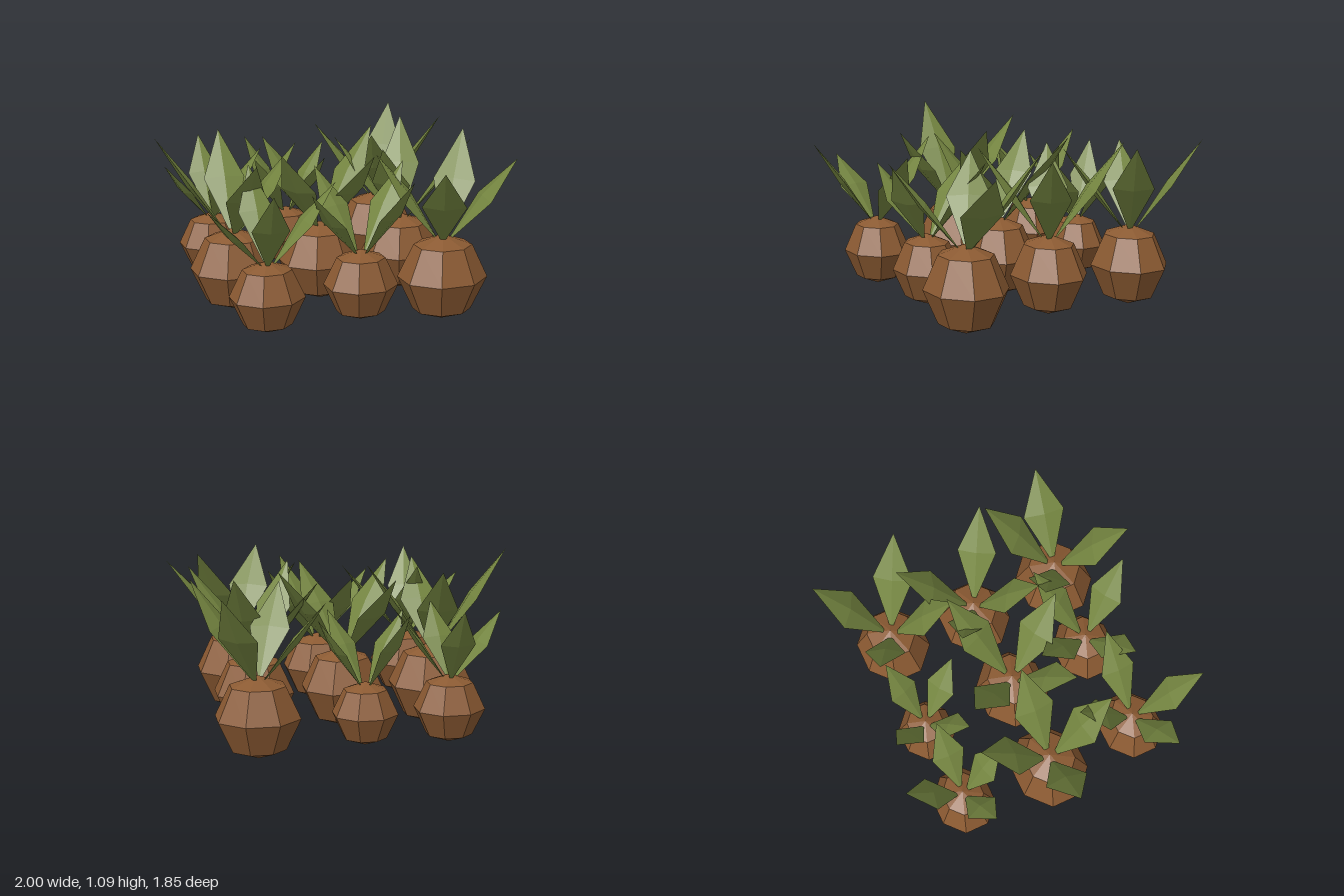
import * as THREE from 'three';

const bulbMat = new THREE.MeshStandardMaterial({ color: 0x8b5a32, flatShading: true });
bulbMat.name = 'brown bulb';
const leafMat = new THREE.MeshStandardMaterial({ color: 0x748540, flatShading: true });
leafMat.name = 'olive leaf';

const EQUATOR = 0.265;

// Each plant: centre x, z, radius, then leaf tips as [x, y, z]
const PLANTS = [
  [-0.52, -0.60, 0.195, [[-0.51, 0.90, -0.93], [-0.84, 0.81, -0.52], [-0.19, 0.86, -0.60], [-0.47, 0.84, -0.32]]],
  [-0.02, -0.62, 0.18, [[-0.22, 0.88, -0.86], [0.27, 0.84, -0.72], [-0.28, 0.82, -0.43], [0.15, 0.82, -0.35]]],
  [0.59, -0.58, 0.235, [[0.82, 1.02, -0.93], [0.23, 0.95, -0.76], [0.94, 1.03, -0.36], [0.41, 0.97, -0.22]]],
  [-0.55, -0.04, 0.242, [[-1.00, 1.09, -0.08], [-0.51, 1.03, -0.46], [-0.15, 1.01, -0.04], [-0.52, 0.98, 0.36]]],
  [0.00, -0.03, 0.235, [[-0.25, 0.98, -0.38], [0.42, 1.03, -0.25], [-0.33, 1.00, 0.23], [0.20, 0.98, 0.35]]],
  [0.54, -0.04, 0.23, [[0.70, 1.03, -0.45], [0.18, 0.97, -0.26], [0.90, 1.00, 0.18], [0.28, 1.00, 0.28]]],
  [-0.52, 0.53, 0.205, [[-0.51, 0.95, 0.16], [-0.89, 0.82, 0.62], [-0.11, 0.90, 0.53], [-0.60, 0.95, 0.91]]],
  [0.06, 0.50, 0.205, [[-0.09, 0.90, 0.12], [0.40, 0.93, 0.30], [-0.29, 0.86, 0.64], [0.25, 0.93, 0.82]]],
  [0.565, 0.53, 0.25, [[0.84, 1.07, 0.19], [0.23, 0.98, 0.30], [1.00, 0.96, 0.60], [0.39, 0.99, 0.92]]],
];

// Eight-sided faceted bulb with shallow pointed ends
function makeBulb(x, z, r) {
  const profile = [[0, -1], [0.65, -0.76], [1, 0], [0.65, 0.76], [0, 1]].map(p => new THREE.Vector2(...p));
  const mesh = new THREE.Mesh(new THREE.LatheGeometry(profile, 8, Math.PI / 8), bulbMat);
  mesh.name = 'bulb';
  mesh.scale.set(r * 1.08, r * 1.04, r * 0.96);
  mesh.position.set(x, EQUATOR, z);
  return mesh;
}

// Diamond blade: an octahedron stretched from base to tip, widest past the middle
function makeLeaf(base, tip, width) {
  const along = tip.clone().sub(base);
  const side = new THREE.Vector3(0, 1, 0).cross(along).normalize();
  const normal = side.clone().cross(along).normalize();
  const geo = new THREE.OctahedronGeometry(1);
  const pos = geo.attributes.position;
  for (let i = 0; i < pos.count; i++) {
    const t = pos.getY(i);
    const v = base.clone()
      .addScaledVector(along, t > 0.5 ? 1 : t < -0.5 ? 0 : 0.54)
      .addScaledVector(side, pos.getX(i) * width / 2)
      .addScaledVector(normal, pos.getZ(i) * width * 0.09);
    pos.setXYZ(i, v.x, v.y, v.z);
  }
  geo.computeVertexNormals();
  const mesh = new THREE.Mesh(geo, leafMat);
  mesh.name = 'leaf';
  return mesh;
}

export function createModel() {
  const model = new THREE.Group();
  model.name = 'plantPatch';
  for (const [x, z, r, tips] of PLANTS) {
    const plant = new THREE.Group();
    plant.name = 'plant';
    plant.add(makeBulb(x, z, r));
    // Four leaves fanning out of the crown
    for (const t of tips) {
      const tip = new THREE.Vector3(...t);
      const out = new THREE.Vector3(tip.x - x, 0, tip.z - z).normalize();
      const base = new THREE.Vector3(x, EQUATOR + r * 0.82, z).addScaledVector(out, 0.02);
      plant.add(makeLeaf(base, tip, r * 1.03));
    }
    model.add(plant);
  }
  return model;
}
